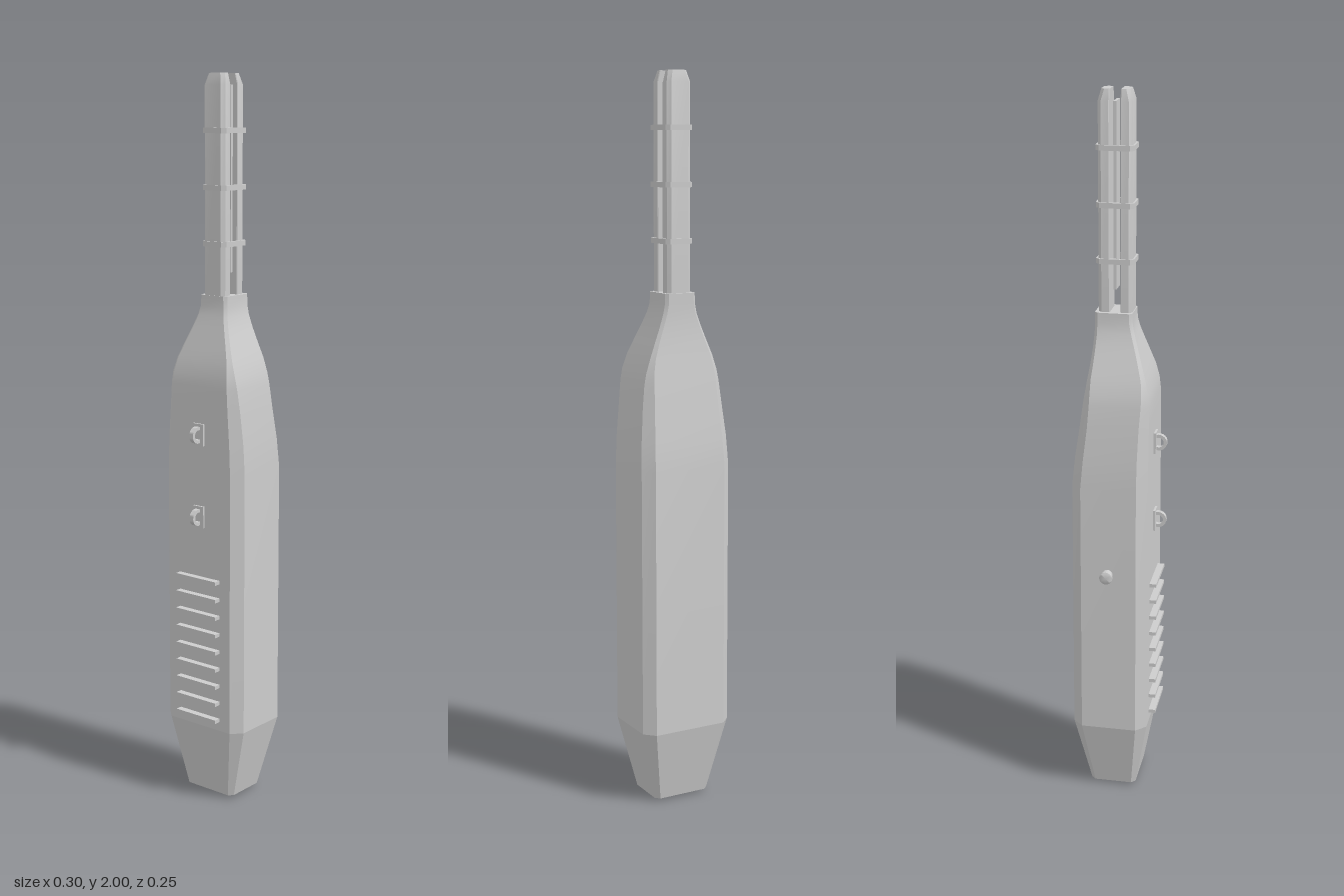
import * as THREE from 'three';
import { toCreasedNormals } from 'three/addons/utils/BufferGeometryUtils.js';

const CX = 0.012; // the housing's middle line

// Outline of a chamfered rectangle: half width, front z, back z, front and back chamfer
function outline(w, f, b, cf, cb) {
  return [[w, f - cf], [w, b + cb], [w - cb, b], [-w + cb, b],
    [-w, b + cb], [-w, f - cf], [-w + cf, f], [w - cf, f]];
}

// Skin over rows of [y, halfWidth, front, back, frontChamfer, backChamfer], capped at both ends
function loft(rows, crease = 0.4) {
  const pos = [], index = [], n = 8;
  for (const [y, w, f, b, cf, cb = cf] of rows) {
    for (const [x, z] of outline(w, f, b, cf, cb)) pos.push(x + CX, y, z);
  }
  for (let i = 0; i < rows.length - 1; i++) {
    for (let j = 0; j < n; j++) {
      const a = i * n + j, b = i * n + (j + 1) % n;
      index.push(a, b, b + n, a, b + n, a + n);
    }
  }
  const top = (rows.length - 1) * n;
  for (let j = 1; j < n - 1; j++) {
    index.push(top, top + j, top + j + 1, 0, j + 1, j);
  }
  const g = new THREE.BufferGeometry();
  g.setAttribute('position', new THREE.Float32BufferAttribute(pos, 3));
  g.setIndex(index);
  return toCreasedNormals(g, crease);
}

export function createModel() {
  const model = new THREE.Group();
  model.name = 'handheldDevice';
  const grey = new THREE.MeshStandardMaterial({ color: 0xcccccc });
  grey.name = 'lightGrey';

  function add(name, geometry, x = 0, y = 0, z = 0, parent = model) {
    const mesh = new THREE.Mesh(geometry, grey);
    mesh.name = name;
    mesh.position.set(x, y, z);
    parent.add(mesh);
    return mesh;
  }

  // Housing: tapered foot, and a long body drawn in to a narrow neck
  add('foot', loft([
    [0.008, 0.083, 0.05, -0.08, 0.012],
    [0.215, 0.134, 0.087, -0.124, 0.028],
  ]));
  add('body', loft([
    [0.215, 0.134, 0.087, -0.124, 0.028],
    [0.95, 0.134, 0.087, -0.122, 0.028],
    [1.03, 0.13, 0.087, -0.114, 0.027],
    [1.12, 0.121, 0.087, -0.101, 0.024],
    [1.18, 0.114, 0.087, -0.093, 0.02],
    [1.21, 0.108, 0.084, -0.088, 0.016],
    [1.25, 0.095, 0.075, -0.082, 0.011],
    [1.29, 0.079, 0.062, -0.076, 0.009],
    [1.33, 0.063, 0.049, -0.072, 0.008],
    [1.365, 0.051, 0.038, -0.07, 0.008],
    [1.39, 0.046, 0.032, -0.07, 0.008],
    [1.42, 0.045, 0.031, -0.07, 0.008],
  ]));

  // Ribs under the foot
  for (let i = 0; i < 4; i++) {
    add('footRib', new THREE.BoxGeometry(0.115, 0.012, 0.012), CX, 0.006, 0.024 - i * 0.026);
  }

  // Two upright prongs, bevelled on their outer sides, with a thin blade between
  const S = 0.002, C = 0.009;
  add('frontProng', loft([
    [1.4, 0.035, 0.029, -0.002, C, S],
    [1.97, 0.035, 0.029, -0.002, C, S],
    [2.0, 0.027, 0.021, -0.002, C, S],
  ]));
  add('backProng', loft([
    [1.4, 0.035, -0.031, -0.062, S, C],
    [1.97, 0.035, -0.031, -0.062, S, C],
    [2.0, 0.027, -0.031, -0.054, S, C],
  ]));
  add('blade', new THREE.BoxGeometry(0.052, 0.49, 0.008), CX, 1.725, -0.018);

  // Bands clasping the prongs
  const toPath = (pts) => pts.map(([x, z]) => new THREE.Vector2(x, -z));
  const bandShape = new THREE.Shape(toPath(outline(0.04, 0.034, -0.068, 0.01, 0.01)));
  bandShape.holes.push(new THREE.Path(toPath(outline(0.031, 0.026, -0.059, 0.008, 0.008))));
  const bandGeo = new THREE.ExtrudeGeometry(bandShape, { depth: 0.014, bevelEnabled: false });
  bandGeo.rotateX(-Math.PI / 2);
  for (const y of [1.557, 1.705, 1.853]) add('band', bandGeo, CX + 0.002, y - 0.007, 0);

  // Grip slats on the front
  const slatGeo = new THREE.BoxGeometry(0.14, 0.01, 0.026);
  for (let i = 0; i < 9; i++) add('gripSlat', slatGeo, CX, 0.246 + i * 0.05, 0.093);

  // Strap loops on the front: a flat ring standing on a thin plate
  const ring = new THREE.Shape();
  ring.absarc(0, 0, 0.023, 0, Math.PI * 2);
  const eye = new THREE.Path();
  eye.absarc(0, 0, 0.014, 0, Math.PI * 2, true);
  ring.holes.push(eye);
  const ringGeo = new THREE.ExtrudeGeometry(ring, { depth: 0.013, bevelEnabled: false, curveSegments: 12 });
  ringGeo.rotateY(Math.PI / 2);
  for (const y of [0.821, 1.05]) {
    const loop = new THREE.Group();
    loop.name = 'strapLoop';
    loop.position.set(CX, y, 0);
    add('loopRing', toCreasedNormals(ringGeo, 0.7), -0.0065, 0, 0.099, loop);
    add('loopPlate', new THREE.BoxGeometry(0.036, 0.06, 0.009), 0, 0, 0.0885, loop);
    model.add(loop);
  }

  // Push knob on the right side
  const knobProfile = [[0, -0.01], [0.015, -0.01], [0.015, 0.017], [0.018, 0.02], [0.018, 0.027], [0.015, 0.029], [0, 0.029]]
    .map(([r, h]) => new THREE.Vector2(r, h));
  const knobGeo = toCreasedNormals(new THREE.LatheGeometry(knobProfile, 20), 0.6);
  knobGeo.rotateZ(Math.PI / 2);
  add('knob', knobGeo, -0.12, 0.7, -0.02);

  return model;
}
